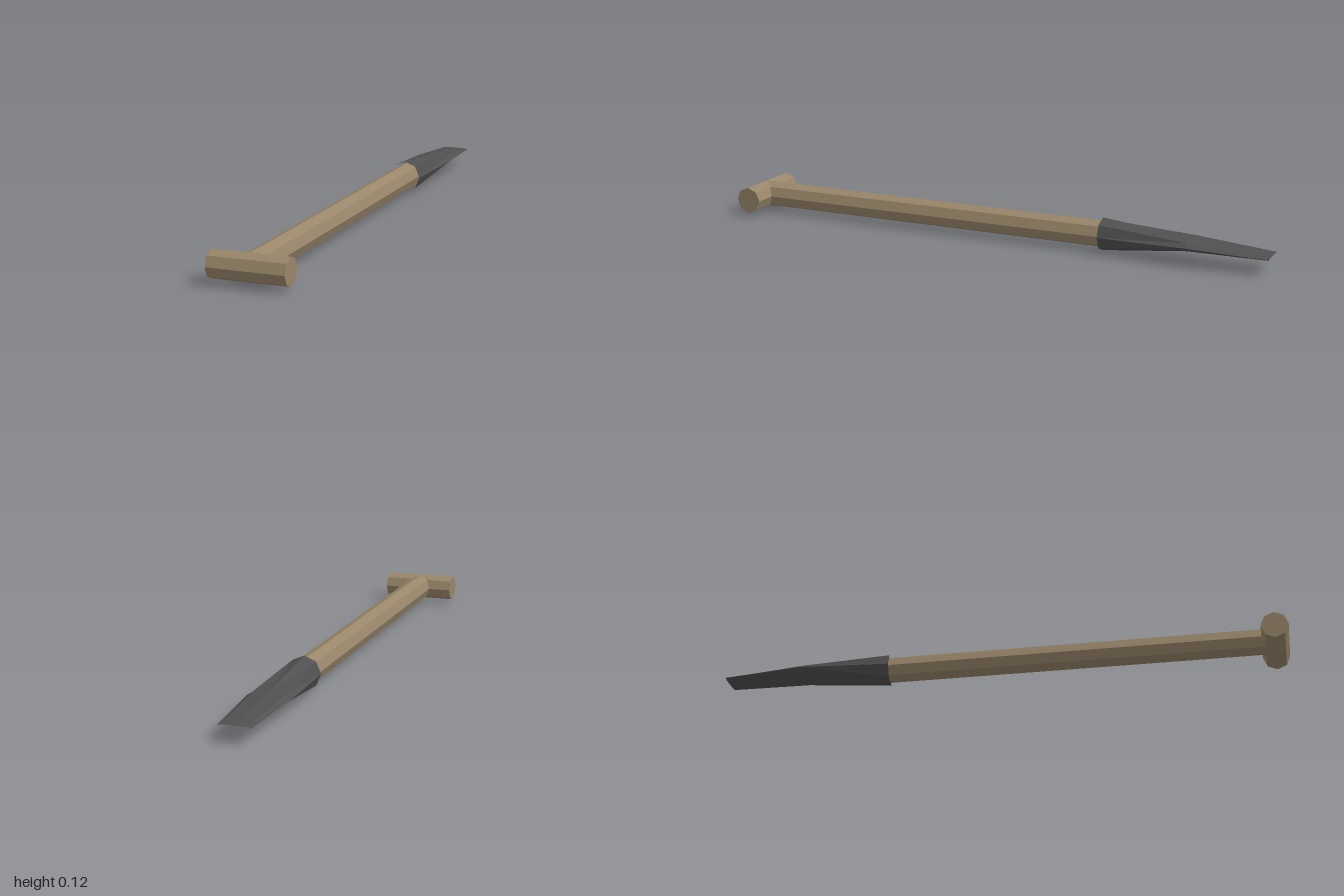
import * as THREE from 'three';

const CY = 0.058; // height of the tool's centre line
const R = 0.047;  // wooden bar radius

// Closed solid lofted through rings given as half outlines (top to bottom, +x side)
function loft(sections) {
  const rings = sections.map(({ z, half }) => {
    const mirrored = half.slice(1, -1).reverse().map(([x, y]) => [-x, y]);
    return [...half, ...mirrored].map(([x, y]) => [x, y, z]);
  });
  const pos = [];
  const tri = (a, b, c) => pos.push(...a, ...b, ...c);
  const n = rings[0].length;
  for (let r = 0; r < rings.length - 1; r++) {
    for (let i = 0; i < n; i++) {
      const j = (i + 1) % n;
      const a = rings[r][i], b = rings[r][j], c = rings[r + 1][j], d = rings[r + 1][i];
      // Mirror the diagonal so both sides match
      if (i < n / 2) { tri(a, d, b); tri(b, d, c); }
      else { tri(a, d, c); tri(a, c, b); }
    }
  }
  const first = rings[0], last = rings[rings.length - 1];
  for (let i = 1; i < n - 1; i++) {
    tri(first[0], first[i + 1], first[i]);
    tri(last[0], last[i], last[i + 1]);
  }
  // Rings run clockwise seen from +z and step towards -z, so turn every face outward
  for (let k = 0; k < pos.length; k += 9) {
    for (let m = 0; m < 3; m++) {
      [pos[k + 3 + m], pos[k + 6 + m]] = [pos[k + 6 + m], pos[k + 3 + m]];
    }
  }
  const g = new THREE.BufferGeometry();
  g.setAttribute('position', new THREE.Float32BufferAttribute(pos, 3));
  g.computeVertexNormals();
  return g;
}

export function createModel() {
  const wood = new THREE.MeshStandardMaterial({ color: 0x99866a, flatShading: true });
  wood.name = 'wood';
  const iron = new THREE.MeshStandardMaterial({ color: 0x505050, flatShading: true });
  iron.name = 'iron';

  const group = new THREE.Group();
  group.name = 'handTool';
  const add = (name, geometry, material) => {
    const mesh = new THREE.Mesh(geometry, material);
    mesh.name = name;
    group.add(mesh);
  };

  // Octagonal shaft, from inside the socket to the middle of the grip
  const shaft = new THREE.CylinderGeometry(R, R, 1.393, 8);
  shaft.rotateX(Math.PI / 2).translate(0, CY, 0.953 - 1.393 / 2);
  add('shaft', shaft, wood);

  // Octagonal cross grip
  const grip = new THREE.CylinderGeometry(R, R, 0.262, 8);
  grip.rotateZ(Math.PI / 2).translate(0, CY, 0.953);
  add('crossGrip', grip, wood);

  // Iron head: octagonal socket flattening into a chisel blade
  const socket = [];
  for (let i = 0; i <= 4; i++) {
    const a = (i * Math.PI) / 4;
    socket.push([Math.sin(a) * 0.058, CY + Math.cos(a) * 0.058]);
  }
  add('bladeHead', loft([
    { z: -0.4, half: socket },
    { z: -0.72, half: [[0, 0.083], [0.055, 0.077], [0.075, 0.064], [0.055, 0.05], [0, 0.045]] },
    { z: -1, half: [[0, 0.058], [0.042, 0.057], [0.055, 0.053], [0.042, 0.048], [0, 0.047]] },
  ]), iron);

  return group;
}
